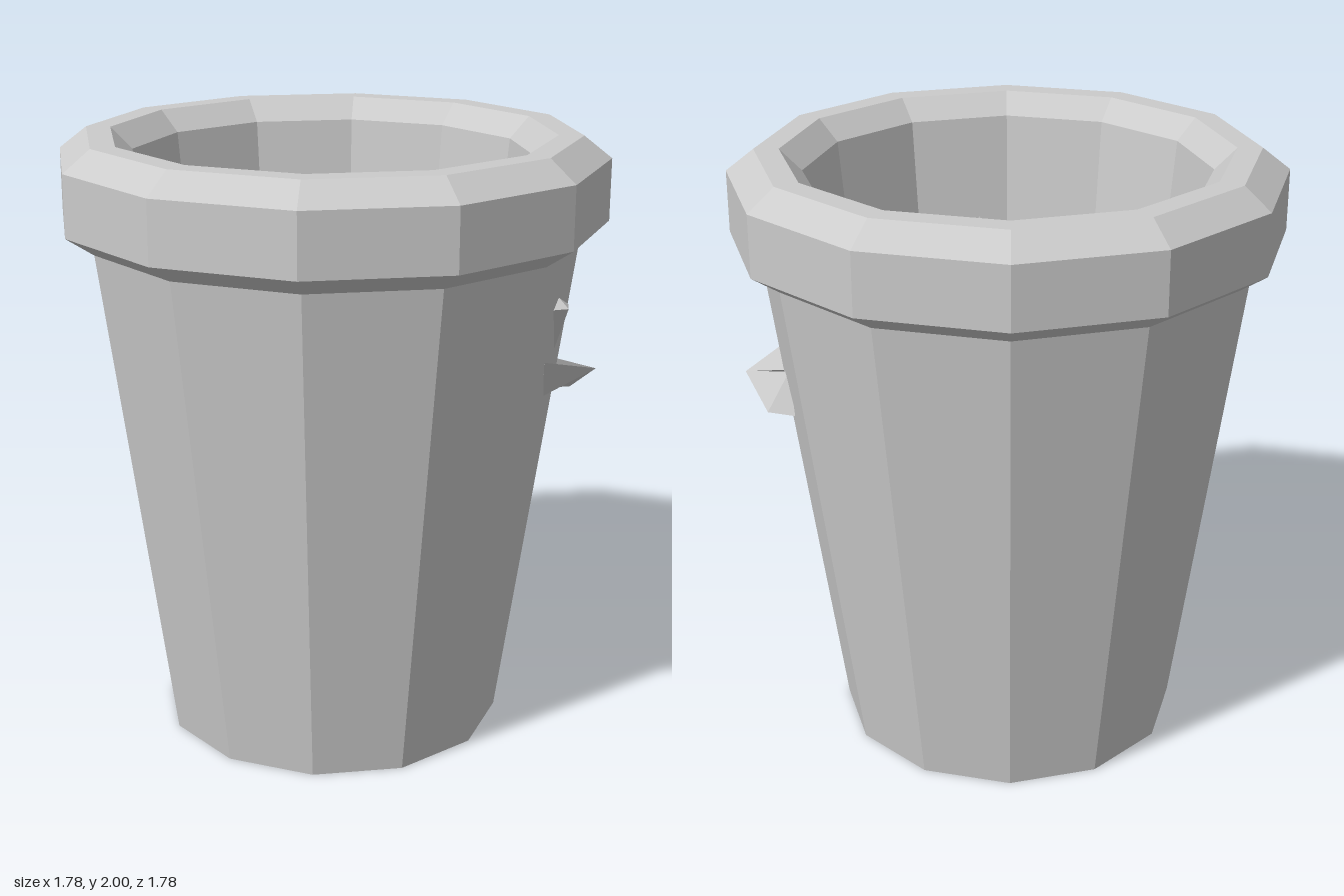
import * as THREE from 'three';
import { ConvexGeometry } from 'three/addons/geometries/ConvexGeometry.js';

const material = new THREE.MeshStandardMaterial({ color: 0xcccccc, flatShading: true });

function addPart(parent, name, geometry) {
  const flat = geometry.index ? geometry.toNonIndexed() : geometry;
  flat.computeVertexNormals();
  const mesh = new THREE.Mesh(flat, material);
  mesh.name = name;
  parent.add(mesh);
}

// Crumpled lump: an uneven outline [x, y, z] lofted into rings, closed at both ends
function lumpGeometry(outline, base, peak, crest) {
  const n = outline.length;
  const centre = [0, 1, 2].map(k => outline.reduce((s, p) => s + p[k], 0) / n);
  const scaled = (s, y) => outline.map((p, j) => [
    centre[0] + (p[0] - centre[0]) * s, y(p, j), centre[2] + (p[2] - centre[2]) * s]);
  const rings = [
    scaled(0, () => base),
    scaled(0.85, () => base),
    outline,
    // alternate ridges and creases
    scaled(0.55, (p, j) => (j % 2 ? crest : crest - 0.12)),
    scaled(0, () => peak),
  ];
  const index = [];
  for (let i = 0; i < rings.length - 1; i++) {
    for (let j = 0; j < n; j++) {
      const a = i * n + j, b = i * n + (j + 1) % n;
      if (i > 0) index.push(a, b, b + n);
      if (i < rings.length - 2) index.push(a, b + n, a + n);
      if (i === 0) index.push(a, b + n, a + n);
    }
  }
  const geometry = new THREE.BufferGeometry();
  geometry.setAttribute('position', new THREE.Float32BufferAttribute(rings.flat(2), 3));
  // keep one triangle per side at each closed end
  geometry.setIndex(index);
  return geometry;
}

export function createModel() {
  const model = new THREE.Group();
  model.name = 'trashCan';

  // Twelve-sided tapered can with a bevelled rim and a raised inner floor
  const profile = [
    [0, 0], [0.57, 0], [0.8, 1.67], [0.89, 1.73], [0.89, 1.93], [0.8, 2],
    [0.72, 2], [0.65, 1.93], [0.58, 1.25], [0, 1.25],
  ].map(([r, y]) => new THREE.Vector2(r, y));
  addPart(model, 'can', new THREE.LatheGeometry(profile, 12));

  // Crumpled rubbish inside the can
  const rubbish = new THREE.Group();
  rubbish.name = 'rubbish';
  model.add(rubbish);
  addPart(rubbish, 'backLump', lumpGeometry([
    [0.31, 1.68, -0.31], [0.24, 1.5, -0.52], [-0.12, 1.55, -0.57], [-0.37, 1.5, -0.39],
    [-0.4, 1.6, -0.24], [-0.46, 1.45, -0.04], [-0.26, 1.42, 0.2], [-0.06, 1.48, 0.04],
    [0.17, 1.55, 0.05],
  ], 1.22, 1.62, 1.68));
  addPart(rubbish, 'rightLump', lumpGeometry([
    [0.61, 1.42, 0.06], [0.57, 1.48, -0.2], [0.36, 1.5, -0.23], [0.22, 1.45, -0.08],
    [0.22, 1.42, 0.08], [0.36, 1.4, 0.15], [0.4, 1.32, 0.38], [0.52, 1.36, 0.22],
  ], 1.2, 1.66, 1.64));
  addPart(rubbish, 'frontLump', lumpGeometry([
    [0.35, 1.6, 0.3], [0.2, 1.5, 0.1], [-0.05, 1.55, 0.05], [-0.28, 1.5, 0.32],
    [-0.17, 1.3, 0.53], [0.1, 1.28, 0.58], [0.24, 1.34, 0.56], [0.33, 1.4, 0.46],
  ], 1.22, 1.6, 1.62));

  // Sharp corners poking out through the side wall
  const shards = {
    upperShard: [[0.7, 1.48, 0.2], [0.77, 1.48, 0.17], [0.74, 1.51, 0.15],
      [0.77, 1.48, 0.11], [0.7, 1.49, 0.1], [0.73, 1.32, 0.08]],
    lowerShardFront: [[0.7, 1.31, 0.2], [0.7, 1.17, 0.11], [0.87, 1.24, 0.01], [0.7, 1.25, 0]],
    lowerShardBack: [[0.87, 1.24, 0.01], [0.72, 1.26, -0.04], [0.79, 1.14, -0.1], [0.7, 1.13, -0.11]],
  };
  for (const [name, points] of Object.entries(shards)) {
    addPart(rubbish, name, new ConvexGeometry(points.map(p => new THREE.Vector3(...p))));
  }
  return model;
}
